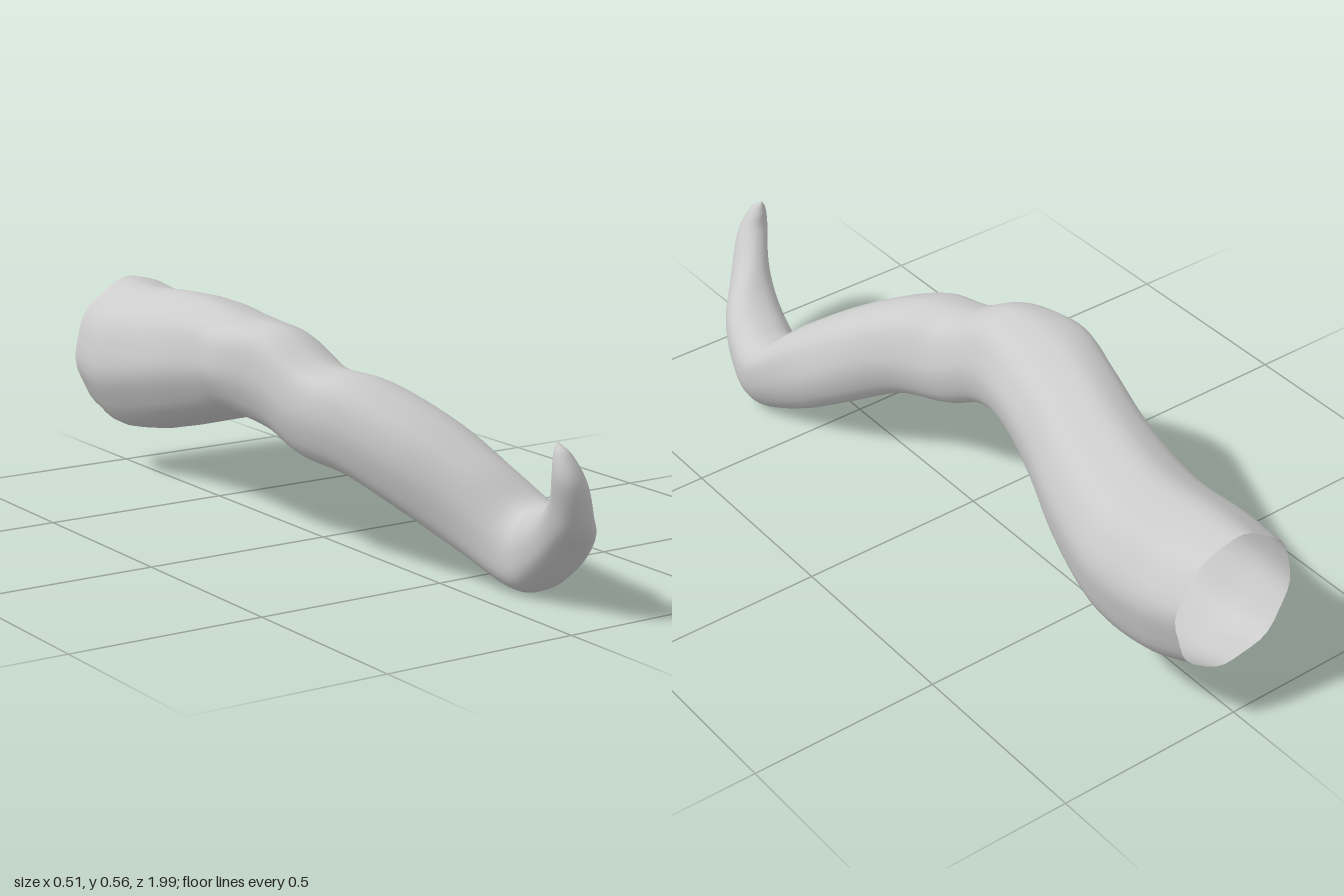
import * as THREE from 'three';

// Cross-sections from the open root to the tip:
// [bottom z, bottom y, top z, top y, min x, max x, lean of the top towards +x]
const SECTIONS = [
  [-0.985, 0.15, -0.99, 0.52, -0.16, 0.185, 0.015],
  [-0.85, 0.12, -0.86, 0.51, -0.175, 0.205, 0.005],
  [-0.7, 0.15, -0.7, 0.52, -0.15, 0.215, 0],
  [-0.5, 0.205, -0.5, 0.535, -0.165, 0.16, -0.01],
  [-0.3, 0.26, -0.3, 0.55, -0.215, 0.08, -0.015],
  [-0.14, 0.3, -0.14, 0.556, -0.252, 0.035, -0.018],
  [0.0, 0.28, 0.01, 0.548, -0.215, 0.01, -0.015],
  [0.11, 0.232, 0.14, 0.48, -0.19, 0.035, -0.015],
  [0.25, 0.205, 0.27, 0.462, -0.16, 0.09, -0.018],
  [0.39, 0.13, 0.42, 0.39, -0.09, 0.17, -0.02],
  [0.52, 0.055, 0.56, 0.29, 0, 0.215, -0.005],
  [0.67, 0, 0.65, 0.212, 0.055, 0.253, 0.01],
  [0.77, 0.05, 0.73, 0.218, 0.05, 0.235, 0.005],
  [0.87, 0.135, 0.81, 0.252, 0.035, 0.19, 0],
  [0.96, 0.22, 0.87, 0.3, 0.01, 0.115, 0],
  [0.998, 0.33, 0.918, 0.36, -0.02, 0.06, 0],
  [0.975, 0.405, 0.93, 0.4, -0.018, 0.025, 0],
  [0.942, 0.432, 0.936, 0.426, -0.006, 0.002, 0],
];
const RINGS = 100, SIDES = 40;

const spline = (pick) =>
  new THREE.CatmullRomCurve3(SECTIONS.map((s) => new THREE.Vector3(...pick(s))), false, 'catmullrom', 0.5);

export function createModel() {
  const group = new THREE.Group();
  const bottom = spline((s) => [0, s[1], s[0]]);
  const top = spline((s) => [0, s[3], s[2]]);
  const sides = spline((s) => [s[4], s[5], s[6]]);
  const positions = [], index = [];

  for (let i = 0; i <= RINGS; i++) {
    const t = i / RINGS;
    const b = bottom.getPoint(t), u = top.getPoint(t), x = sides.getPoint(t);
    const lean = x.z;
    const half = Math.sqrt(Math.max(((x.y - x.x) / 2) ** 2 - lean ** 2, 1e-6));
    const fold = 0.018 * (1 - t); // folds fade towards the tip
    const full = 0.06 * Math.sin(Math.PI * t); // fuller corners along the middle
    for (let j = 0; j < SIDES; j++) {
      const a = (j / SIDES) * Math.PI * 2;
      // Lengthwise folds that wander slowly around the body
      const r = 1 + full * Math.sin(2 * a) ** 2
        + fold * (Math.sin(8 * a + 5 * t) + 0.5 * Math.sin(5 * a - 9 * t));
      const c = Math.cos(a) * r, s = Math.sin(a) * r;
      positions.push(
        (x.x + x.y) / 2 + half * c + lean * s,
        Math.max(0, (b.y + u.y) / 2 + ((u.y - b.y) / 2) * s),
        (b.z + u.z) / 2 + ((u.z - b.z) / 2) * s,
      );
      if (i < RINGS) {
        const p = i * SIDES + j, q = i * SIDES + ((j + 1) % SIDES);
        index.push(p, q, p + SIDES, q, q + SIDES, p + SIDES);
      }
    }
  }
  // Close the tip
  const last = RINGS * SIDES;
  positions.push(-0.002, 0.433, 0.938);
  for (let j = 0; j < SIDES; j++) index.push(last + j, last + ((j + 1) % SIDES), last + SIDES);

  const geometry = new THREE.BufferGeometry();
  geometry.setAttribute('position', new THREE.Float32BufferAttribute(positions, 3));
  geometry.setIndex(index);
  geometry.computeVertexNormals();

  // Hollow, open at the root
  const horn = new THREE.Mesh(
    geometry,
    new THREE.MeshStandardMaterial({ color: 0xcccccc, side: THREE.DoubleSide }),
  );
  horn.name = 'curvedHorn';
  group.add(horn);
  return group;
}
